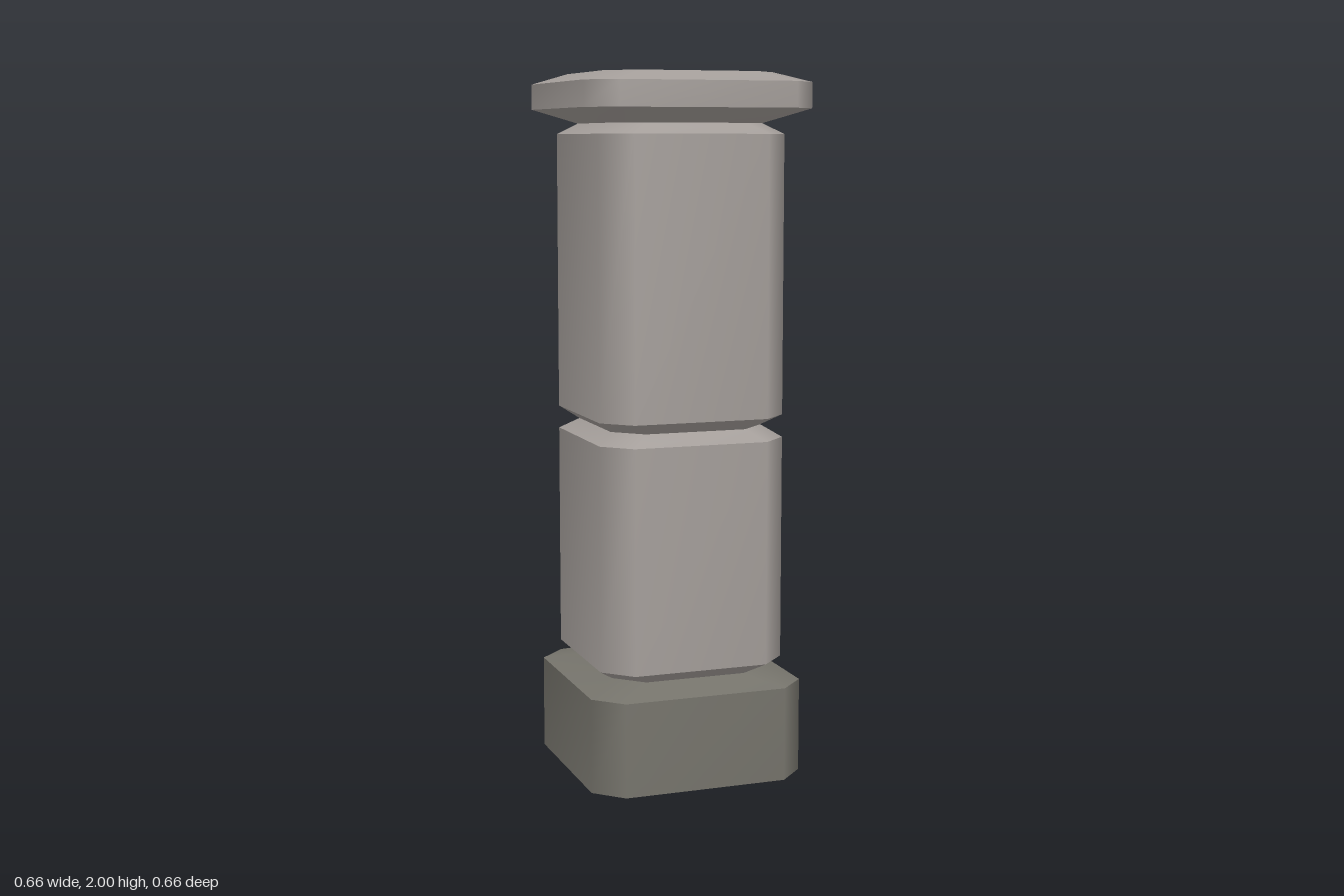
import * as THREE from 'three';

const CHAMFER = 0.077;

// Corners of a square with cut corners, running counter-clockwise seen from the front of +y
function ring(half, y) {
  const c = half - CHAMFER;
  return [
    [half, c], [half, -c], [c, -half], [-c, -half],
    [-half, -c], [-half, c], [-c, half], [c, half],
  ].map(([x, z]) => [x, y, z]);
}

// One band between two rings: smooth around the corners, sharp at its upper and lower rims
function band([h0, y0], [h1, y1], material, name) {
  const points = [...ring(h0, y0), ...ring(h1, y1)];
  const index = [];
  for (let i = 0; i < 8; i++) {
    const j = (i + 1) % 8;
    index.push(i, j, 8 + j, i, 8 + j, 8 + i);
  }
  const geometry = new THREE.BufferGeometry();
  geometry.setAttribute('position', new THREE.Float32BufferAttribute(points.flat(), 3));
  geometry.setIndex(index);
  geometry.computeVertexNormals();
  const mesh = new THREE.Mesh(geometry, material);
  mesh.name = name;
  return mesh;
}

// A stack of bands following a profile of [half width, height]
function section(name, profile, material) {
  const group = new THREE.Group();
  group.name = name;
  for (let i = 0; i + 1 < profile.length; i++) {
    group.add(band(profile[i], profile[i + 1], material, `${name}Band${i + 1}`));
  }
  return group;
}

export function createModel() {
  const stone = new THREE.MeshStandardMaterial({ color: 0xa39d99, side: THREE.DoubleSide });
  stone.name = 'pale stone';
  const darkStone = new THREE.MeshStandardMaterial({ color: 0x75736b, side: THREE.DoubleSide });
  darkStone.name = 'dark stone';

  const model = new THREE.Group();
  model.name = 'pillar';

  // Hollow plinth, open underneath
  model.add(section('plinth', [[0.315, 0], [0.315, 0.27], [0.225, 0.3]], darkStone));

  // Two shaft blocks separated by bevelled grooves
  model.add(section('lowerShaft', [[0.225, 0.3], [0.273, 0.333], [0.273, 0.975], [0.225, 1.007]], stone));
  model.add(section('upperShaft', [[0.225, 1.007], [0.273, 1.04], [0.273, 1.83], [0.225, 1.86]], stone));

  // Overhanging capital with a flat top
  const capital = section('capital', [[0.225, 1.86], [0.331, 1.9], [0.331, 1.972], [0.248, 2]], stone);
  const outline = new THREE.Shape(ring(0.248, 0).map(([x, , z]) => new THREE.Vector2(x, -z)));
  const top = new THREE.Mesh(new THREE.ShapeGeometry(outline).rotateX(-Math.PI / 2), stone);
  top.name = 'capitalTop';
  top.position.y = 2;
  capital.add(top);
  model.add(capital);

  return model;
}
